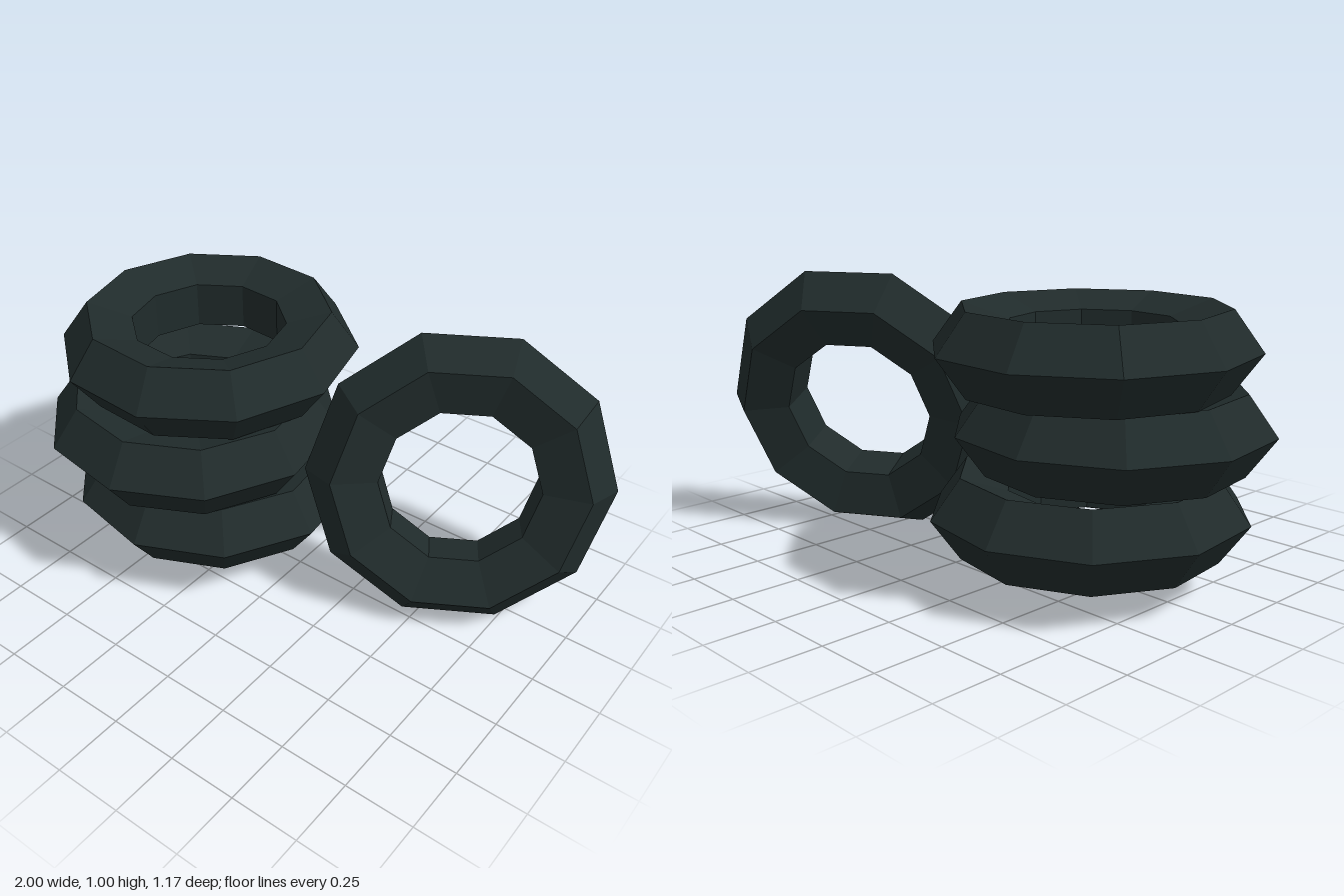
import * as THREE from 'three';

export function createModel() {
  const group = new THREE.Group();
  const rubber = new THREE.MeshStandardMaterial({ color: 0x202b2b });
  rubber.flatShading = true;

  // Chunky tyre: ten-sided ring with a five-sided section, its ridge outward
  const tyreGeometry = new THREE.TorusGeometry(0.3995, 0.1455, 5, 10);
  const addTyre = (name, x, y, z) => {
    const tyre = new THREE.Mesh(tyreGeometry, rubber);
    tyre.name = name;
    tyre.position.set(x, y, z);
    group.add(tyre);
    return tyre;
  };

  // Stack of flat tyres, each shifted and turned a little: x, y, z, turn in degrees
  const stack = [
    ['bottomTyre', -0.425, 0.248, -0.025, 11],
    ['middleTyre', -0.463, 0.529, 0.045, 9],
    ['topTyre', -0.448, 0.804, -0.04, 3.5],
  ];
  for (const [name, x, y, z, turn] of stack) {
    addTyre(name, x, y, z).rotation.set(Math.PI / 2, 0, THREE.MathUtils.degToRad(turn));
  }

  // Tyre standing on its edge and leaning back against the stack
  const across = new THREE.Vector3(0.863, 0, -0.506).normalize();
  const normal = new THREE.Vector3(0.488, 0.26, 0.833);
  normal.addScaledVector(across, -normal.dot(across)).normalize();
  const up = new THREE.Vector3().crossVectors(normal, across);
  addTyre('leaningTyre', 0.525, 0.5, -0.23).quaternion.setFromRotationMatrix(
    new THREE.Matrix4().makeBasis(across, up, normal)
  );

  return group;
}
